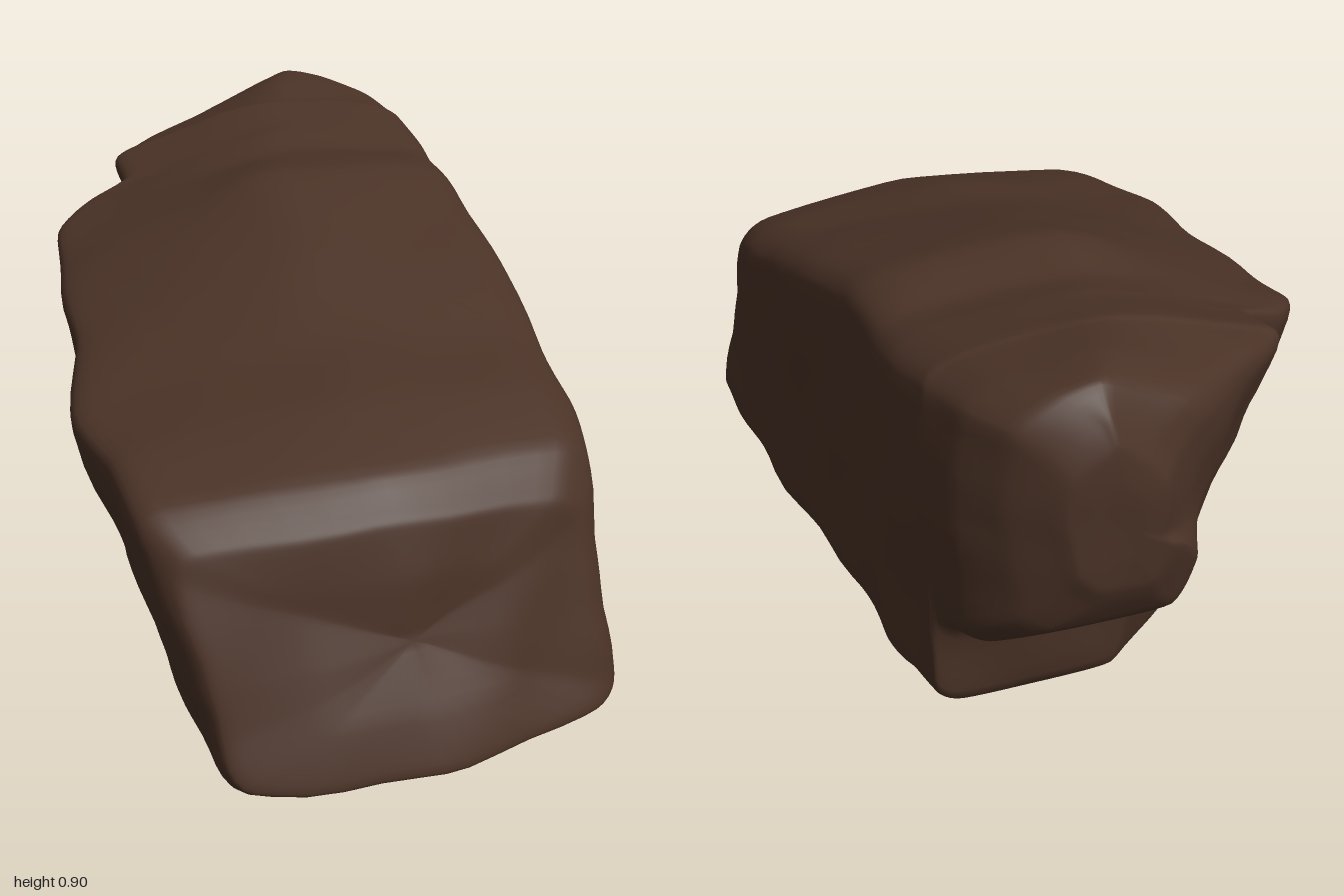
import * as THREE from 'three';
import { mergeVertices } from 'three/addons/utils/BufferGeometryUtils.js';

// Cross-sections from front to back:
// z, left foot x, left bulge x, left shoulder y, crown y, right x, base y
const SECTIONS = [
  [0.99, -0.30, -0.41, 0.47, 0.49, 0.45, 0.01],
  [0.94, -0.32, -0.46, 0.52, 0.56, 0.48, 0.00],
  [0.72, -0.33, -0.49, 0.56, 0.62, 0.49, 0.00],
  [0.45, -0.34, -0.525, 0.58, 0.655, 0.50, 0.01],
  [0.10, -0.35, -0.49, 0.62, 0.745, 0.50, 0.01],
  [-0.23, -0.31, -0.47, 0.66, 0.83, 0.49, 0.02],
  [-0.42, -0.19, -0.45, 0.69, 0.82, 0.50, 0.02],
  [-0.52, -0.11, -0.36, 0.72, 0.84, 0.50, 0.03],
  [-0.57, -0.06, -0.27, 0.76, 0.85, 0.50, 0.04],
  [-0.685, 0.08, -0.26, 0.78, 0.87, 0.50, 0.05],
  [-0.715, 0.04, -0.23, 0.78, 0.87, 0.50, 0.24],
  [-0.83, 0.04, -0.10, 0.80, 0.88, 0.48, 0.29],
  [-0.93, 0.08, 0.03, 0.80, 0.88, 0.42, 0.36],
  [-0.975, 0.13, 0.10, 0.76, 0.83, 0.36, 0.43],
];
const AROUND = 72, ALONG = 5;

// Closed outline of one section, running up the left and down the right
function outline([z, footL, bulgeL, shoulderY, crownY, right, base]) {
  const tilt = THREE.MathUtils.clamp(z * 0.33, 0, 0.32); // the front face leans back
  const bow = Math.max(0, z - 0.5) * 0.75; // and curves away to the right
  const footR = right + 0.03 * z;
  const bulgeY = shoulderY - 0.06;
  const rightY = crownY - 0.015;
  const corners = [
    [footL, base], [footL - 0.045, base + 0.09],
    [(footL + bulgeL) / 2 - 0.005, (base + bulgeY) / 2],
    [bulgeL, bulgeY], [bulgeL + 0.04, shoulderY],
    [(bulgeL + right) / 2, crownY],
    [right - 0.1, rightY], [right - 0.01, rightY - 0.06],
    [right, (base + rightY) / 2],
    [footR, base + 0.06], [footR - 0.05, base + 0.01],
    [(footL + footR) / 2, base],
  ];
  const points = corners.map(([x, y]) =>
    new THREE.Vector3(x, y, z - tilt * y - bow * (x + 0.1) ** 2));
  const curve = new THREE.CatmullRomCurve3(points, true, 'catmullrom', 0.28);
  return Array.from({ length: AROUND }, (_, i) => curve.getPoint(i / AROUND));
}

// Shrinks an end outline towards its middle to close the stone
function shrink(ring, size, push) {
  const middle = new THREE.Vector3();
  ring.forEach((p) => middle.addScaledVector(p, 1 / ring.length));
  return ring.map((p) => {
    const q = p.clone().lerp(middle, 1 - size);
    q.z += push;
    return q;
  });
}

// Soft dents, finer roughness and faint bedding layers
function weather(p) {
  const { x, y, z } = p;
  const dent = Math.sin(7 * x + 4 * z + 1) * Math.sin(8 * y - 5 * z) * 0.007;
  const rough = Math.sin(19 * x - 8 * y + 2) * Math.sin(17 * z + 11 * y) * 0.005;
  const layer = Math.sin(42 * y + 6 * x - 9 * z) * 0.002;
  p.x += dent + rough + layer;
  p.y += (dent - rough) * 0.8;
  p.z += rough - dent;
}

function stoneGeometry() {
  const rings = SECTIONS.map(outline);
  const front = rings[0], back = rings[rings.length - 1];
  rings.unshift(shrink(front, 0, 0.03), shrink(front, 0.5, 0.027), shrink(front, 0.9, 0.012));
  rings.push(shrink(back, 0.75, -0.02), shrink(back, 0.4, -0.027), shrink(back, 0, -0.027));

  // Lengthwise curves through matching points of the sections
  const rails = front.map((_, j) =>
    new THREE.CatmullRomCurve3(rings.map((ring) => ring[j]), false, 'catmullrom', 0.3));
  const rows = (rings.length - 1) * ALONG;
  const positions = [], index = [];
  for (let i = 0; i <= rows; i++) {
    for (let j = 0; j < AROUND; j++) {
      const p = rails[j].getPoint(i / rows);
      weather(p);
      positions.push(p.x, p.y, p.z);
      if (i === rows) continue;
      const a = i * AROUND + j, b = i * AROUND + ((j + 1) % AROUND);
      index.push(a, b, a + AROUND, b, b + AROUND, a + AROUND);
    }
  }
  const loft = new THREE.BufferGeometry();
  loft.setAttribute('position', new THREE.Float32BufferAttribute(positions, 3));
  loft.setIndex(index);
  const stone = mergeVertices(loft, 1e-5);

  // Centre it and rest it on the ground
  stone.computeBoundingBox();
  const { min, max } = stone.boundingBox;
  stone.translate(-(min.x + max.x) / 2, -min.y, -(min.z + max.z) / 2);
  stone.computeVertexNormals();
  return stone;
}

export function createModel() {
  const brown = new THREE.MeshStandardMaterial({ color: 0x4a3226 });
  brown.name = 'dark brown stone';
  const boulder = new THREE.Mesh(stoneGeometry(), brown);
  boulder.name = 'boulder';
  const group = new THREE.Group();
  group.name = 'rock';
  group.add(boulder);
  return group;
}
